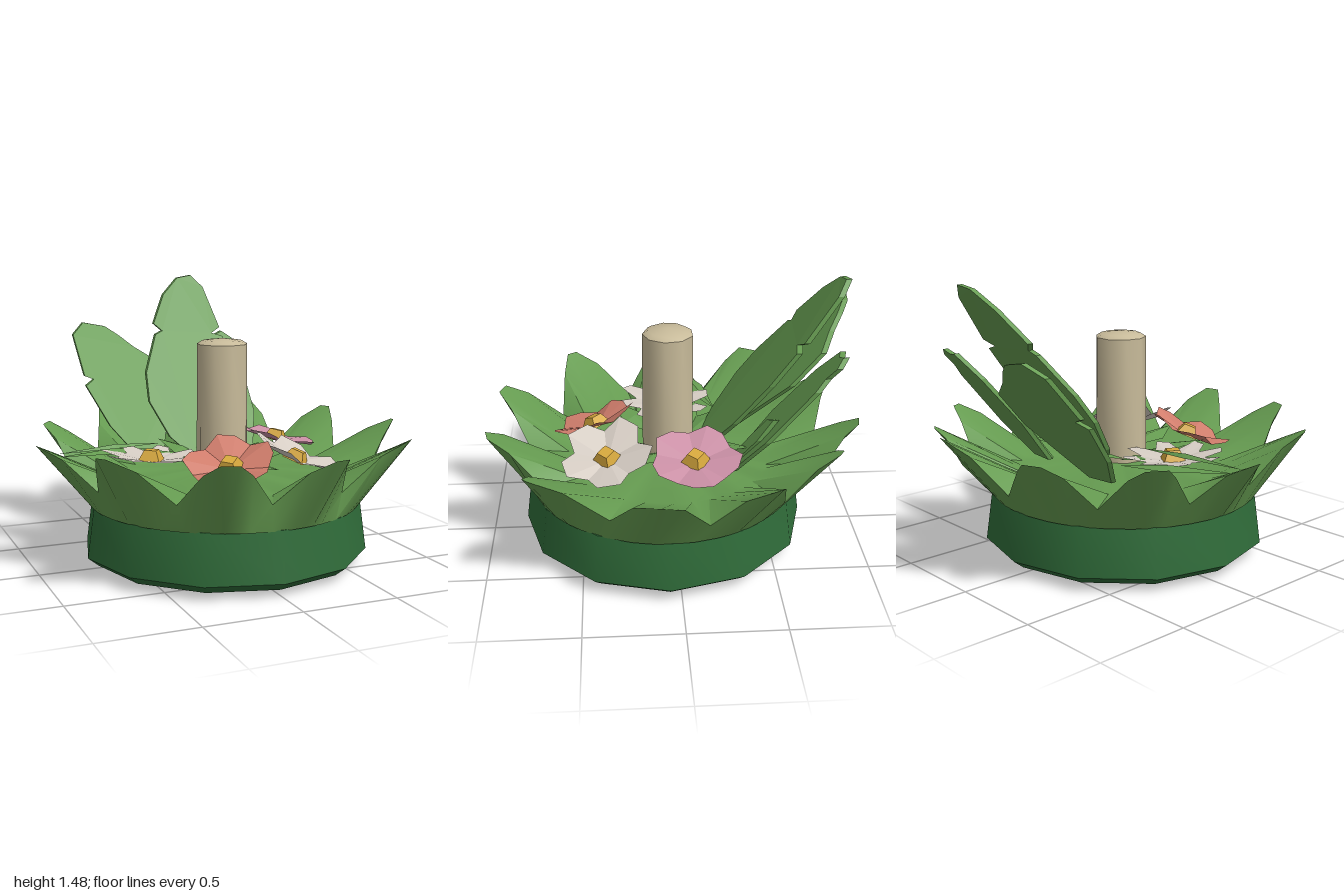
import * as THREE from 'three';
import { toCreasedNormals } from 'three/addons/utils/BufferGeometryUtils.js';

const mat = (name, color, side = THREE.DoubleSide) =>
  new THREE.MeshStandardMaterial({ name, color, side });

// Closed rings of points joined into a skin
function skin(rings) {
  const n = rings[0].length;
  const index = [];
  for (let r = 0; r < rings.length - 1; r++) {
    for (let i = 0; i < n; i++) {
      const a = r * n + i, b = r * n + (i + 1) % n;
      index.push(a, a + n, b, b, a + n, b + n);
    }
  }
  const g = new THREE.BufferGeometry();
  g.setAttribute('position', new THREE.Float32BufferAttribute(rings.flat(2), 3));
  g.setIndex(index);
  return toCreasedNormals(g, 0.8);
}

export function createModel() {
  const root = new THREE.Group();
  root.name = 'floatingFlowerBasket';
  const M = {
    base: mat('darkGreenBase', 0x2f6b39),
    leaf: mat('leafGreen', 0x669c51),
    candle: mat('candleBeige', 0xc8bb9a),
    pink: mat('petalPink', 0xcb90a6),
    coral: mat('petalCoral', 0xd07d6c),
    white: mat('petalWhite', 0xd6cdc4),
    gold: mat('flowerGold', 0xd6a83d),
  };
  const add = (name, geometry, material, parent = root) => {
    const m = new THREE.Mesh(geometry, material);
    m.name = name;
    parent.add(m);
    return m;
  };
  const CZ = 0.057; // the base sits slightly forward

  // Solid round base
  const profile = [[0, 0], [0.56, 0], [0.7, 0.03], [0.757, 0.075], [0.722, 0.33], [0, 0.34]];
  const base = add('base', toCreasedNormals(new THREE.LatheGeometry(
    profile.map(([x, y]) => new THREE.Vector2(x, y)), 12), 0.9), M.base);
  base.position.z = CZ;

  // Crown of folded leaves: tip x, y, z and half width of the tip, going round
  const tips = [[0.99, 0.7, 0.13, 0.015], [0.715, 0.71, 0.75, 0.02], [0.205, 0.69, 0.98, 0.04],
    [-0.34, 0.7, 0.94, 0.045], [-0.825, 0.7, 0.565, 0.03], [-0.995, 0.67, 0, 0.01],
    [-0.825, 0.7, -0.5, 0.055], [-0.38, 0.7, -0.87, 0.05], [0.22, 0.72, -0.955, 0.04],
    [0.52, 0.7, -0.81, 0.025], [0.87, 0.7, -0.44, 0.03]];
  const angles = tips.map(([x, , z]) => (Math.atan2(z, x) + Math.PI * 2) % (Math.PI * 2));
  const valley = (i) => {
    const k = (i + tips.length) % tips.length, j = (k + 1) % tips.length;
    const gap = (angles[j] - angles[k] + Math.PI * 2) % (Math.PI * 2);
    const a = angles[k] + gap / 2, close = gap < 0.45;
    const r = close ? 0.84 : 0.78;
    return new THREE.Vector3(Math.cos(a) * r, close ? 0.53 : 0.46, Math.sin(a) * r);
  };
  const rim = tips.flatMap(([x, y, z, w], i) => {
    const tip = new THREE.Vector3(x, y, z);
    const tangent = new THREE.Vector3(-z, 0, x).normalize();
    const shoulder = (v, s) => {
      const p = v.clone().lerp(tip, 0.6).addScaledVector(tangent, s * 0.025);
      p.y += 0.03;
      return p;
    };
    const v0 = valley(i - 1), v1 = valley(i);
    return [v0, shoulder(v0, -1), tip.clone().addScaledVector(tangent, -w),
      tip.clone().addScaledVector(tangent, w), shoulder(v1, 1)];
  });
  const ring = (r, y, cz) => rim.map((p) => {
    const a = Math.atan2(p.z, p.x);
    return [Math.cos(a) * r, y, Math.sin(a) * r + cz];
  });
  add('leafCrown', skin([ring(0.715, 0.325, CZ), rim.map((p) => p.toArray()),
    ring(0.54, 0.45, 0.03), ring(0.001, 0.5, 0.02)]), M.leaf);

  // Candle with a shallow domed top
  const candle = add('candle', toCreasedNormals(new THREE.LatheGeometry(
    [[0, 0.4], [0.139, 0.4], [0.134, 1.15], [0.105, 1.168], [0, 1.18]]
      .map(([x, y]) => new THREE.Vector2(x, y)), 9), 0.8), M.candle);
  candle.position.z = 0.03;

  // Tall backward-leaning leaves: front outline, plus depth z at each point
  const leaf = (name, outline, zAt) => {
    const g = new THREE.ExtrudeGeometry(
      new THREE.Shape(outline.map(([x, y]) => new THREE.Vector2(x, y))),
      { depth: 0.03, bevelEnabled: false });
    const p = g.attributes.position;
    for (let i = 0; i < p.count; i++) p.setZ(i, p.getZ(i) - 0.01 + zAt(p.getX(i), p.getY(i)));
    g.computeVertexNormals();
    return add(name, g, M.leaf);
  };
  leaf('tallLeafCentre', [[-0.08, 0.5], [0.1, 0.5], [0.21, 0.72], [0.26, 0.95], [0.265, 1.13], [0.2, 1.15],
    [0.26, 1.18], [0.22, 1.41], [0.16, 1.48], [0.07, 1.465], [-0.04, 1.37], [-0.14, 1.21], [-0.1, 1.17],
    [-0.145, 1.15], [-0.25, 0.95], [-0.27, 0.8], [-0.2, 0.62]],
    (x, y) => -0.25 - (y - 0.65) * 0.74 - Math.abs(x - (y - 0.5) * 0.12) * 0.08);
  leaf('tallLeafRight', [[-0.35, 0.5], [-0.2, 0.5], [-0.06, 0.8], [-0.08, 0.98], [-0.2, 1.06], [-0.28, 1.13],
    [-0.35, 1.18], [-0.48, 1.205], [-0.56, 1.14], [-0.55, 0.92], [-0.5, 0.9], [-0.555, 0.87], [-0.47, 0.66]],
    (x, y) => -0.42 - (y - 0.6) * 0.93 - (x + 0.48) * 0.11);
  leaf('tallLeafLeft', [[0.18, 0.5], [0.32, 0.5], [0.4, 0.7], [0.41, 0.98], [0.38, 1.04], [0.4, 1.1],
    [0.35, 1.14], [0.3, 1.12], [0.25, 1.13], [0.17, 1.0], [0.12, 0.75]],
    (x, y) => -0.385 - (y - 0.6) * 0.85 + (x - 0.3) * 0.12);
  leaf('smallLeafLeft', [[0.2, 0.5], [0.28, 0.52], [0.33, 0.68], [0.32, 0.79], [0.25, 0.76], [0.22, 0.66]],
    (x, y) => -0.33 - (y - 0.55) * 0.74);

  // Thin loose leaves: kite shapes with a raised fold
  const sprig = (name, from, to, width) => {
    const a = new THREE.Vector3(...from), b = new THREE.Vector3(...to);
    const side = new THREE.Vector3(a.z - b.z, 0, b.x - a.x).normalize().multiplyScalar(width);
    const mid = a.clone().lerp(b, 0.45);
    const l = mid.clone().add(side), r = mid.clone().sub(side);
    const top = mid.clone().setY(mid.y + 0.02);
    const g = new THREE.BufferGeometry().setFromPoints([a, l, top, l, b, top, a, top, r, top, b, r]);
    g.computeVertexNormals();
    return add(name, g, M.leaf);
  };
  sprig('looseLeafRight', [-0.3, 0.62, -0.09], [-0.9, 0.62, 0.0], 0.02);
  sprig('looseLeafRightBack', [-0.3, 0.56, -0.25], [-0.88, 0.6, -0.02], 0.06);
  // Filler leaves in the gaps between the flowers
  for (const [deg, reach, y] of [[20, 0.42, 0.6], [78, 0.5, 0.56], [140, 0.45, 0.6], [205, 0.4, 0.58],
    [235, 0.42, 0.6], [270, 0.3, 0.62], [305, 0.5, 0.62], [335, 0.3, 0.58]]) {
    const a = deg * Math.PI / 180;
    sprig('fillerLeaf', [Math.cos(a) * 0.13, 0.52, Math.sin(a) * 0.13 + 0.03],
      [Math.cos(a) * reach, y, Math.sin(a) * reach + 0.03], 0.08);
  }

  // Flowers: cupped star of petals round a faceted golden centre
  function flower(name, material, { n, radius, notch, blunt, cup, position, tilt }) {
    const f = new THREE.Group();
    f.name = name;
    const pts = [];
    const at = (a, r, y) => new THREE.Vector3(Math.cos(a) * r, y, Math.sin(a) * r);
    const step = Math.PI * 2 / n;
    for (let i = 0; i < n; i++) {
      const a = i * step, c = new THREE.Vector3(0, -0.01, 0);
      const v0 = at(a - step / 2, radius * notch, cup * 0.35), v1 = at(a + step / 2, radius * notch, cup * 0.35);
      const t0 = at(a - step * blunt, radius, cup), t1 = at(a + step * blunt, radius * 0.95, cup * 0.8);
      pts.push(c, t0, v0, c, t1, t0, c, v1, t1);
    }
    const g = new THREE.BufferGeometry().setFromPoints(pts);
    g.computeVertexNormals();
    add('petals', g, material, f);
    const heart = new THREE.CylinderGeometry(0.045, 0.08, 0.055, 4).toNonIndexed();
    heart.computeVertexNormals();
    add('flowerCentre', heart, M.gold, f).position.y = 0.025;
    f.position.set(...position);
    f.rotation.set(...tilt);
    root.add(f);
  }
  flower('whiteDaisy', M.white, { n: 8, radius: 0.265, notch: 0.62, blunt: 0.16, cup: 0.035,
    position: [-0.4, 0.56, 0.03], tilt: [0, 0.2, -0.05] });
  flower('coralFlower', M.coral, { n: 5, radius: 0.235, notch: 0.84, blunt: 0.16, cup: 0.06,
    position: [-0.12, 0.57, 0.42], tilt: [0.32, 0, 0.22] });
  flower('whiteFlower', M.white, { n: 5, radius: 0.245, notch: 0.72, blunt: 0.2, cup: 0.06,
    position: [0.27, 0.57, 0.36], tilt: [0.15, 0, -0.35] });
  flower('pinkFlower', M.pink, { n: 5, radius: 0.24, notch: 0.84, blunt: 0.16, cup: 0.04,
    position: [0.37, 0.595, -0.09], tilt: [0.03, 0.1, -0.25] });
  return root;
}
